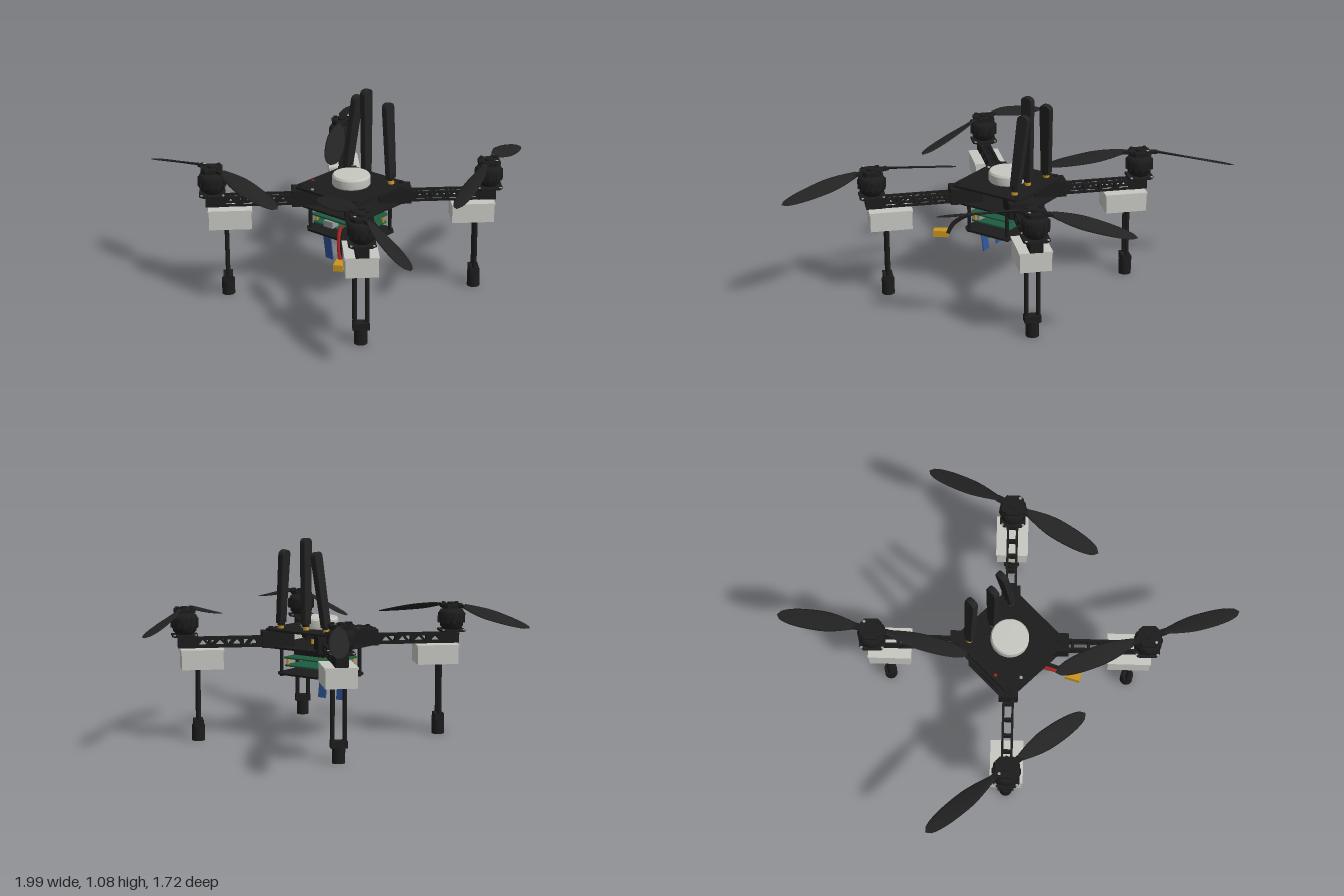
import * as THREE from 'three';
import { ParametricGeometry } from 'three/addons/geometries/ParametricGeometry.js';

const mat = (name, color, side = THREE.FrontSide) => {
  const m = new THREE.MeshStandardMaterial({ color, side });
  m.name = name;
  return m;
};

export function createModel() {
  const black = mat('frame black', 0x1c1c1c);
  const rubber = mat('propeller black', 0x232323);
  const grey = mat('light grey', 0xc8c8c2);
  const silver = mat('silver', 0x9a9c9e);
  const gold = mat('gold', 0xc9961f);
  const green = mat('board green', 0x1f5c41);
  const red = mat('wire red', 0x9c2222);
  const blue = mat('strip blue', 0x2f5597);

  const model = new THREE.Group();
  model.name = 'quadcopter';
  const CX = 0.02, CZ = 0.125; // centre of the airframe

  const add = (parent, name, geo, m, x = 0, y = 0, z = 0) => {
    const mesh = new THREE.Mesh(geo, m);
    mesh.name = name;
    mesh.position.set(x, y, z);
    parent.add(mesh);
    return mesh;
  };
  const box = (p, name, m, w, h, d, x, y, z) => add(p, name, new THREE.BoxGeometry(w, h, d), m, x, y, z);
  const rod = (p, name, m, r, y0, y1, x, z, n = 16) =>
    add(p, name, new THREE.CylinderGeometry(r, r, y1 - y0, n), m, x, (y0 + y1) / 2, z);

  // Horizontal plate with cut corners, centred on the origin of its parent
  const plate = (p, name, m, w, d, c, y, h, x = 0, z = 0) => {
    const a = w / 2, b = d / 2;
    const s = new THREE.Shape([[a - c, -b], [a, c - b], [a, b - c], [a - c, b], [c - a, b], [-a, b - c], [-a, c - b], [c - a, -b]]
      .map(([u, v]) => new THREE.Vector2(u, v)));
    const g = new THREE.ExtrudeGeometry(s, { depth: h, bevelEnabled: false });
    g.rotateX(-Math.PI / 2);
    return add(p, name, g, m, x, y, z);
  };

  // Drooping, twisted blade running along +x
  const bladeGeometry = (spin) => new ParametricGeometry((u, v, out) => {
    const a = u * Math.PI * 2;
    const root = 0.35 + 0.65 * Math.sin(Math.min(v / 0.45, 1) * Math.PI / 2);
    const tip = Math.sqrt(Math.max(0, 1 - Math.pow(Math.max(0, (v - 0.4) / 0.6), 2.6)));
    const half = 0.053 * root * tip;
    const pitch = spin * (0.42 - 0.26 * v);
    const c = half * Math.cos(a), t = -0.007 * (1 - 0.6 * v) * tip * Math.sin(a);
    out.set(0.085 + 0.427 * v,
      0.7 - 0.08 * v + t * Math.cos(pitch) + c * Math.sin(pitch),
      c * Math.cos(pitch) - t * Math.sin(pitch));
  }, 12, 20);

  // Truss side panel of an arm, pierced by alternating triangles
  const truss = new THREE.Shape([[0.2, 0.498], [0.755, 0.498], [0.755, 0.552], [0.2, 0.552]].map(([x, y]) => new THREE.Vector2(x, y)));
  for (let i = 0; i < 7; i++) {
    const x = 0.325 + i * 0.045, lo = i % 2 ? 0.541 : 0.509, hi = i % 2 ? 0.509 : 0.541;
    truss.holes.push(new THREE.Path([[x, lo], [x + 0.06, lo], [x + 0.03, hi]].map(([px, py]) => new THREE.Vector2(px, py))));
  }
  const trussGeo = new THREE.ExtrudeGeometry(truss, { depth: 0.012, bevelEnabled: false });

  const bell = new THREE.LatheGeometry([[0, 0.572], [0.045, 0.572], [0.062, 0.59], [0.062, 0.61], [0.071, 0.612],
    [0.071, 0.655], [0.06, 0.676], [0, 0.68]].map(([x, y]) => new THREE.Vector2(x, y)), 28);

  // Four arms; the last value is the propeller's direction in the ground plane
  const arms = [
    [-1, -1, [-0.285, -0.42], 1], [1, -1, [-0.16, -0.48], -1],
    [-1, 1, [-0.51, -0.052], -1], [1, 1, [0.465, 0.207], 1],
  ];
  for (const [sx, sz, dir, spin] of arms) {
    const arm = new THREE.Group();
    arm.name = 'arm';
    arm.position.set(CX, 0, CZ);
    arm.rotation.y = Math.atan2(-sz, sx);
    model.add(arm);
    const R = 0.718;

    // Truss beam and clamp at the body
    for (const s of [-1, 1]) add(arm, 'armRail', trussGeo, black, 0, 0, s * 0.024 - 0.006);
    for (let i = 0; i < 5; i++) box(arm, 'armBrace', black, 0.014, 0.04, 0.05, 0.33 + i * 0.085, 0.525, 0);
    box(arm, 'armEnd', black, 0.09, 0.054, 0.066, 0.708, 0.525, 0);
    box(arm, 'armClamp', black, 0.17, 0.085, 0.1, 0.225, 0.537, 0);

    // Motor
    plate(arm, 'motorMount', black, 0.136, 0.136, 0.022, 0.56, 0.01, R);
    add(arm, 'motor', bell, black, R);
    for (let i = 0; i < 12; i++) {
      const a = i * Math.PI / 6;
      const rib = box(arm, 'motorRib', black, 0.01, 0.05, 0.014, R + 0.069 * Math.cos(a), 0.632, 0.069 * Math.sin(a));
      rib.rotation.y = -a;
    }
    plate(arm, 'propellerHub', black, 0.112, 0.112, 0.022, 0.686, 0.02, R);
    rod(arm, 'hubCap', black, 0.022, 0.7, 0.716, R, 0);
    for (const u of [-1, 1]) for (const v of [-1, 1]) {
      rod(arm, 'hubScrew', black, 0.01, 0.7, 0.714, R + u * 0.036, v * 0.036, 10);
      rod(arm, 'mountScrew', silver, 0.007, 0.568, 0.573, R + u * 0.055, v * 0.055, 8);
    }
    rod(arm, 'hubScrewHead', silver, 0.008, 0.706, 0.7155, R + 0.036, 0.036, 8).scale.set(1, 1.02, 1);

    // Battery style box under the arm, with a thin rim
    box(arm, 'podBox', grey, 0.22, 0.1, 0.162, 0.63, 0.44, 0);
    box(arm, 'podRim', grey, 0.228, 0.01, 0.17, 0.63, 0.49, 0);

    // Landing leg
    for (const s of [-1, 1]) rod(arm, 'legTube', black, 0.0115, 0.09, 0.392, 0.65, s * 0.031, 12);
    box(arm, 'legClamp', black, 0.05, 0.036, 0.085, 0.65, 0.096, 0);
    rod(arm, 'foot', black, 0.034, 0, 0.085, 0.65, 0, 20);

    // Propeller
    const prop = new THREE.Group();
    prop.name = 'propeller';
    prop.position.set(CX + sx * 0.508, 0, CZ + sz * 0.508);
    prop.rotation.y = Math.atan2(-dir[1], dir[0]);
    model.add(prop);
    const geo = bladeGeometry(spin);
    for (const turn of [0, Math.PI]) add(prop, 'blade', geo, rubber).rotation.y = turn;
    box(prop, 'bladeHolder', black, 0.19, 0.014, 0.034, 0, 0.697, 0);
  }

  // Body plates
  const body = new THREE.Group();
  body.name = 'body';
  body.position.set(CX, 0, CZ);
  model.add(body);
  plate(body, 'topPlate', black, 0.425, 0.425, 0.02, 0.58, 0.012);
  plate(body, 'middlePlate', black, 0.425, 0.425, 0.02, 0.49, 0.01);
  plate(body, 'bottomPlate', black, 0.39, 0.3, 0.03, 0.338, 0.011, 0, 0.01);
  plate(body, 'lowerBoard', green, 0.3, 0.25, 0.01, 0.383, 0.008, 0, 0.01);
  plate(body, 'upperBoard', green, 0.31, 0.26, 0.01, 0.425, 0.008, 0, 0.01);
  for (const sx of [-1, 1]) for (const sz of [-1, 1]) {
    rod(body, 'standoff', black, 0.01, 0.328, 0.5, sx * 0.17, 0.01 + sz * 0.12, 12);
    rod(body, 'boardSpacer', gold, 0.008, 0.383, 0.43, sx * 0.142, 0.01 + sz * 0.1, 10);
    rod(body, 'plateScrew', black, 0.012, 0.59, 0.602, sx * 0.185, sz * 0.185, 12);
  }
  rod(body, 'frontScrew', silver, 0.009, 0.585, 0.596, -0.1, 0.19, 10);
  rod(body, 'sideLamp', red, 0.009, 0.585, 0.596, -0.187, 0.09, 10);

  // Electronics between the plates
  box(body, 'headerBlock', gold, 0.12, 0.05, 0.11, -0.01, 0.455, 0.03);
  for (let i = 0; i < 6; i++) box(body, 'headerPin', gold, 0.009, 0.035, 0.09, -0.06 + i * 0.02, 0.505, 0.03);
  box(body, 'module', black, 0.2, 0.036, 0.14, 0.015, 0.462, -0.005);
  box(body, 'socket', silver, 0.06, 0.034, 0.05, -0.03, 0.405, 0.125);
  box(body, 'sideSocket', silver, 0.05, 0.03, 0.05, 0.115, 0.405, 0.11);

  // Receiver dome on the top plate
  add(body, 'receiverDisc', new THREE.LatheGeometry([[0, 0.59], [0.094, 0.59], [0.1, 0.6], [0.1, 0.64], [0.1, 0.64], [0.093, 0.651],
    [0.093, 0.651], [0, 0.652]].map(([x, y]) => new THREE.Vector2(x, y)), 40), grey);

  // Paddle antennas: foot position, length, sideways lean, backward lean
  const paddle = new THREE.Shape();
  const antennas = [[0.016, 0.0, 0.47, 0, 0], [-0.132, -0.02, 0.41, -0.115, -0.07], [0.167, -0.02, 0.41, 0.115, -0.07]];
  for (const [x, z, len, lean, back] of antennas) {
    const a = new THREE.Group();
    a.name = 'antenna';
    a.position.set(x, 0.605, z);
    a.rotation.set(back, 0, lean);
    model.add(a);
    const s = new THREE.Shape();
    s.moveTo(-0.023, 0.02);
    s.lineTo(0.023, 0.02);
    s.lineTo(0.03, len - 0.025);
    s.quadraticCurveTo(0.03, len, 0, len);
    s.quadraticCurveTo(-0.03, len, -0.03, len - 0.025);
    const g = new THREE.ExtrudeGeometry(s, { depth: 0.022, bevelThickness: 0.006, bevelSize: 0.003, bevelSegments: 2 });
    g.translate(0, 0, -0.011);
    g.rotateY(Math.PI / 2);
    add(a, 'antennaPaddle', g, rubber);
    rod(a, 'antennaJoint', black, 0.02, 0.005, 0.04, 0, 0);
    rod(a, 'antennaBase', gold, 0.017, -0.015, 0.014, 0, 0);
  }

  // Blue straps hanging at the front
  for (const x of [-0.043, 0.078]) {
    const strap = box(model, 'strap', blue, 0.05, 0.135, 0.006, x, 0.257, 0.236);
    strap.rotation.x = 0.14;
  }

  // Power lead and plug
  [[red, 0], [black, 0.026]].forEach(([m, o]) => {
    const path = new THREE.CatmullRomCurve3([[0.02 + o, 0.36, 0.17], [0.05 + o, 0.39, 0.24], [0.09 + o, 0.39, 0.3],
      [0.15 + o * 0.8, 0.345, 0.37], [0.185 + o * 0.8, 0.292, 0.4 - o * 0.5]].map((p) => new THREE.Vector3(...p)));
    add(model, 'powerWire', new THREE.TubeGeometry(path, 24, 0.011, 8), m);
  });
  const plug = box(model, 'powerPlug', gold, 0.05, 0.034, 0.08, 0.205, 0.287, 0.43);
  plug.rotation.y = 0.5;
  return model;
}
